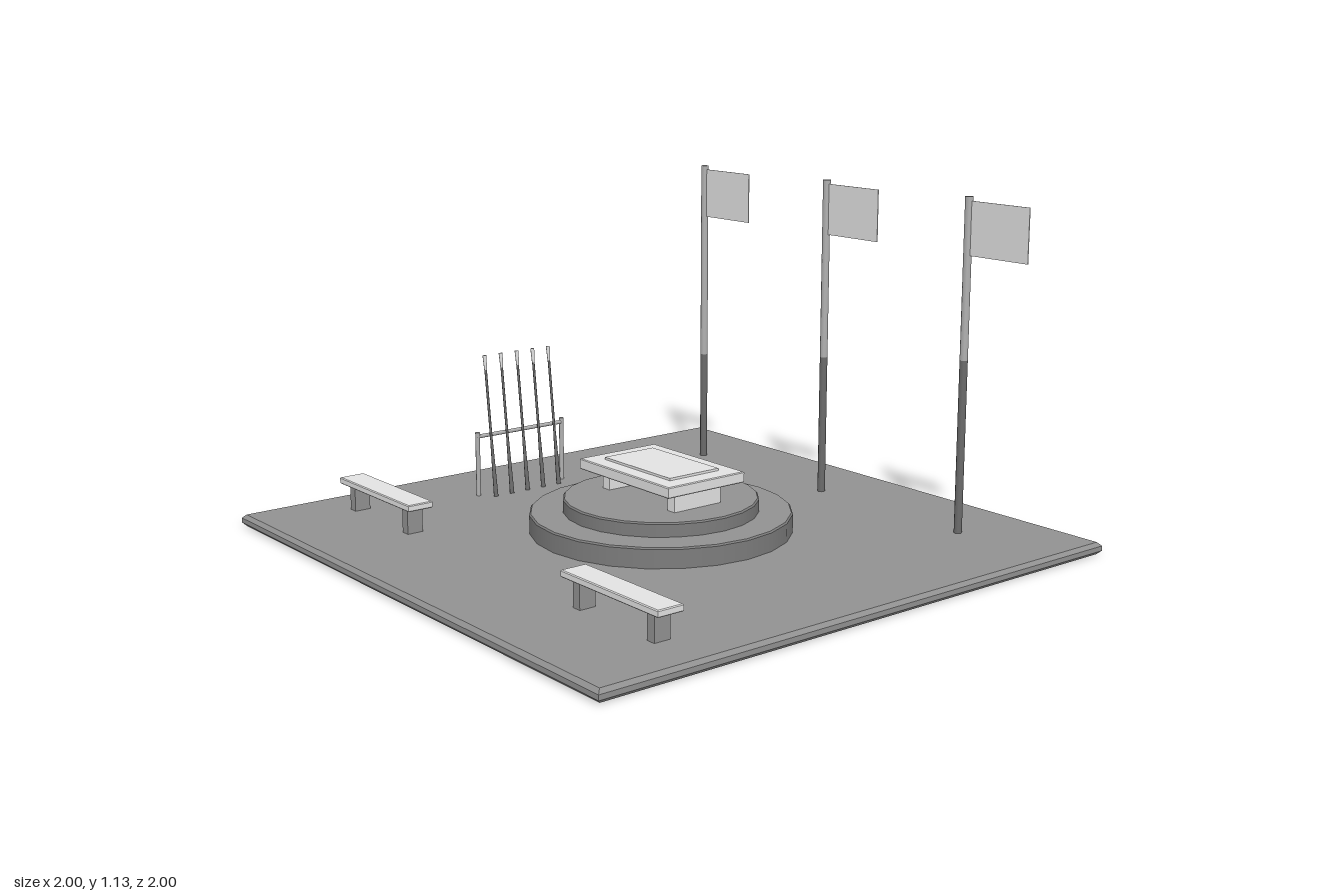
import * as THREE from 'three';

const mat = (name, color) => {
  const m = new THREE.MeshStandardMaterial({ color });
  m.name = name;
  return m;
};

export function createModel() {
  const paving = mat('paving grey', 0x919191);
  const stone = mat('dark stone', 0x7c7c7c);
  const pale = mat('pale stone', 0xe2e2e2);
  const metal = mat('pole metal', 0xb2b2b2);
  const dark = mat('dark metal', 0x6c6c6c);

  const model = new THREE.Group();
  model.name = 'memorialPlaza';

  const add = (parent, name, geometry, material, x = 0, y = 0, z = 0) => {
    const mesh = new THREE.Mesh(geometry, material);
    mesh.name = name;
    mesh.position.set(x, y, z);
    parent.add(mesh);
    return mesh;
  };
  const group = (name, x = 0, y = 0, z = 0) => {
    const g = new THREE.Group();
    g.name = name;
    g.position.set(x, y, z);
    model.add(g);
    return g;
  };

  // Box with chamfered edges, standing on y = 0
  const slab = (w, h, d, b) => {
    const x = w / 2 - b, z = d / 2 - b;
    const shape = new THREE.Shape([
      new THREE.Vector2(-x, -z), new THREE.Vector2(x, -z),
      new THREE.Vector2(x, z), new THREE.Vector2(-x, z),
    ]);
    return new THREE.ExtrudeGeometry(shape, {
      depth: h - 2 * b, bevelEnabled: true, bevelSegments: 1, bevelSize: b, bevelThickness: b,
    }).rotateX(-Math.PI / 2).translate(0, b, 0);
  };

  // Cylinder running between two points
  const rod = (parent, name, a, b, r0, r1, material, sides = 8) => {
    const from = new THREE.Vector3(...a), to = new THREE.Vector3(...b);
    const dir = to.clone().sub(from);
    const mesh = add(parent, name, new THREE.CylinderGeometry(r1, r0, dir.length(), sides), material);
    mesh.position.copy(from).add(to).multiplyScalar(0.5);
    mesh.quaternion.setFromUnitVectors(new THREE.Vector3(0, 1, 0), dir.normalize());
  };

  // Paved ground
  add(model, 'ground', slab(2, 0.04, 2, 0.012), paving);

  // Two round steps with a chamfered rim
  const steps = group('plinth');
  const rim = 0.005;
  for (const [name, r, y0, y1] of [['lowerStep', 0.43, 0.04, 0.106], ['upperStep', 0.32, 0.106, 0.152]]) {
    const h = y1 - y0 - rim;
    add(steps, name, new THREE.CylinderGeometry(r, r, h, 24), stone, 0, y0 + h / 2, 0);
    add(steps, name + 'Top', new THREE.CylinderGeometry(r - rim, r, rim, 24), [stone, paving, stone], 0, y1 - rim / 2, 0);
  }

  // Stone table with a raised panel
  const table = group('table');
  for (const side of [-1, 1]) {
    add(table, 'support', new THREE.BoxGeometry(0.036, 0.07, 0.19), pale, side * 0.17, 0.185, 0);
  }
  add(table, 'tableTop', slab(0.464, 0.036, 0.312, 0.003), pale, 0, 0.217, 0);
  add(table, 'panel', new THREE.BoxGeometry(0.34, 0.008, 0.2), pale, 0, 0.257, 0);

  // Two benches at the front
  for (const side of [-1, 1]) {
    const bench = group('bench', side * 0.64, 0, 0.655);
    add(bench, 'seat', slab(0.446, 0.022, 0.09, 0.003), pale, 0, 0.125, 0);
    for (const s of [-1, 1]) {
      add(bench, 'benchLeg', new THREE.BoxGeometry(0.032, 0.087, 0.056), paving, s * 0.17, 0.0825, 0);
    }
  }

  // Three flagpoles, each darker up to its own height
  for (const [x, split] of [[-0.643, 0.43], [0, 0.52], [0.64, 0.61]]) {
    const pole = group('flagpole', x, 0, -0.72);
    rod(pole, 'lowerPole', [0, 0.04, 0], [0, split, 0], 0.013, 0.013, dark);
    rod(pole, 'upperPole', [0, split, 0], [0, 1.132, 0], 0.013, 0.013, metal);
    add(pole, 'flag', new THREE.BoxGeometry(0.235, 0.173, 0.003), pale, 0.127, 1.032, 0);
  }

  // Rack of leaning staffs
  const rack = group('rack', -0.702);
  for (const z of [-0.105, 0.25]) {
    rod(rack, 'rackPost', [0, 0.04, z], [0, 0.265, z], 0.008, 0.008, metal);
  }
  rod(rack, 'rackRail', [0, 0.25, -0.11], [0, 0.25, 0.255], 0.007, 0.007, metal);
  for (let i = 0; i < 5; i++) {
    const z = -0.057 + i * 0.0665;
    const at = (y) => [0.047 - (y - 0.04) * 0.115, y, z];
    rod(rack, 'staffButt', at(0.04), at(0.22), 0.008, 0.005, dark);
    rod(rack, 'staffShaft', at(0.22), at(0.49), 0.0045, 0.0045, dark);
    rod(rack, 'staffTip', at(0.48), at(0.53), 0.005, 0.007, pale);
  }

  return model;
}
